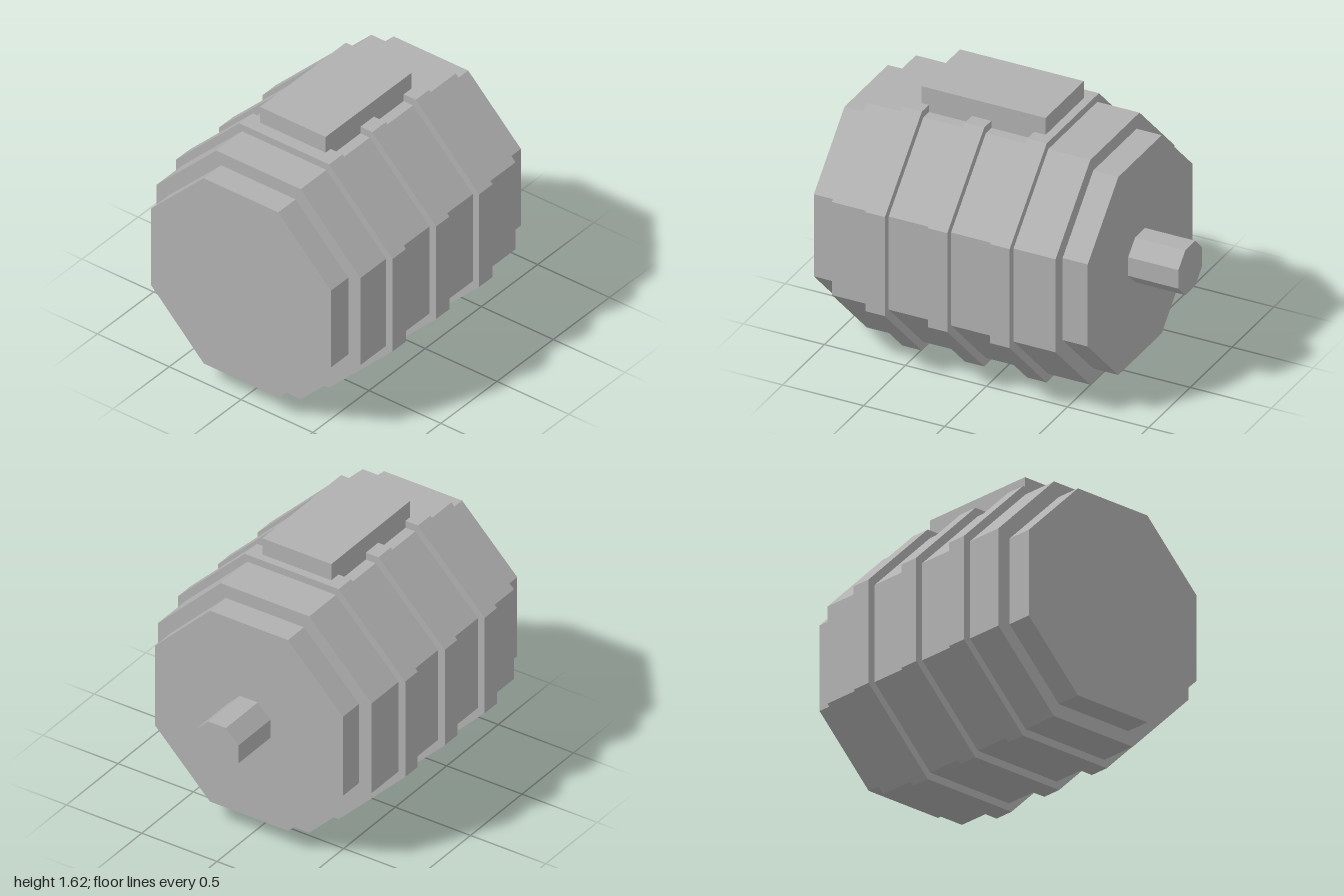
import * as THREE from 'three';

const AXIS_Y = 0.756;

export function createModel() {
  const model = new THREE.Group();
  model.name = 'electricMotor';
  const grey = new THREE.MeshStandardMaterial({ color: 0xb0b0b0, flatShading: true });
  grey.name = 'plain grey';

  // octagonal drum along x, given its half-width across flats
  function drum(name, x0, x1, halfWidth) {
    const r = halfWidth / Math.cos(Math.PI / 8);
    const geo = new THREE.CylinderGeometry(r, r, x1 - x0, 8, 1, false, Math.PI / 8);
    geo.rotateZ(-Math.PI / 2);
    const mesh = new THREE.Mesh(geo, grey);
    mesh.name = name;
    mesh.position.set((x0 + x1) / 2, AXIS_Y, 0);
    model.add(mesh);
  }

  // casing with smaller end caps
  drum('rearCap', -1, -0.845, 0.626);
  drum('casing', -0.845, 0.535, 0.71);
  drum('frontCap', 0.535, 0.69, 0.626);

  // raised bands around the casing
  [-0.555, -0.17, 0.215].forEach((x, i) => drum('band' + (i + 1), x - 0.06, x + 0.06, 0.755));

  // output shaft
  drum('shaft', 0.69, 1, 0.142);

  // terminal box on top
  const box = new THREE.Mesh(new THREE.BoxGeometry(0.765, 0.2, 0.458), grey);
  box.name = 'terminalBox';
  box.position.set(-0.157, 1.517, 0);
  model.add(box);

  return model;
}
